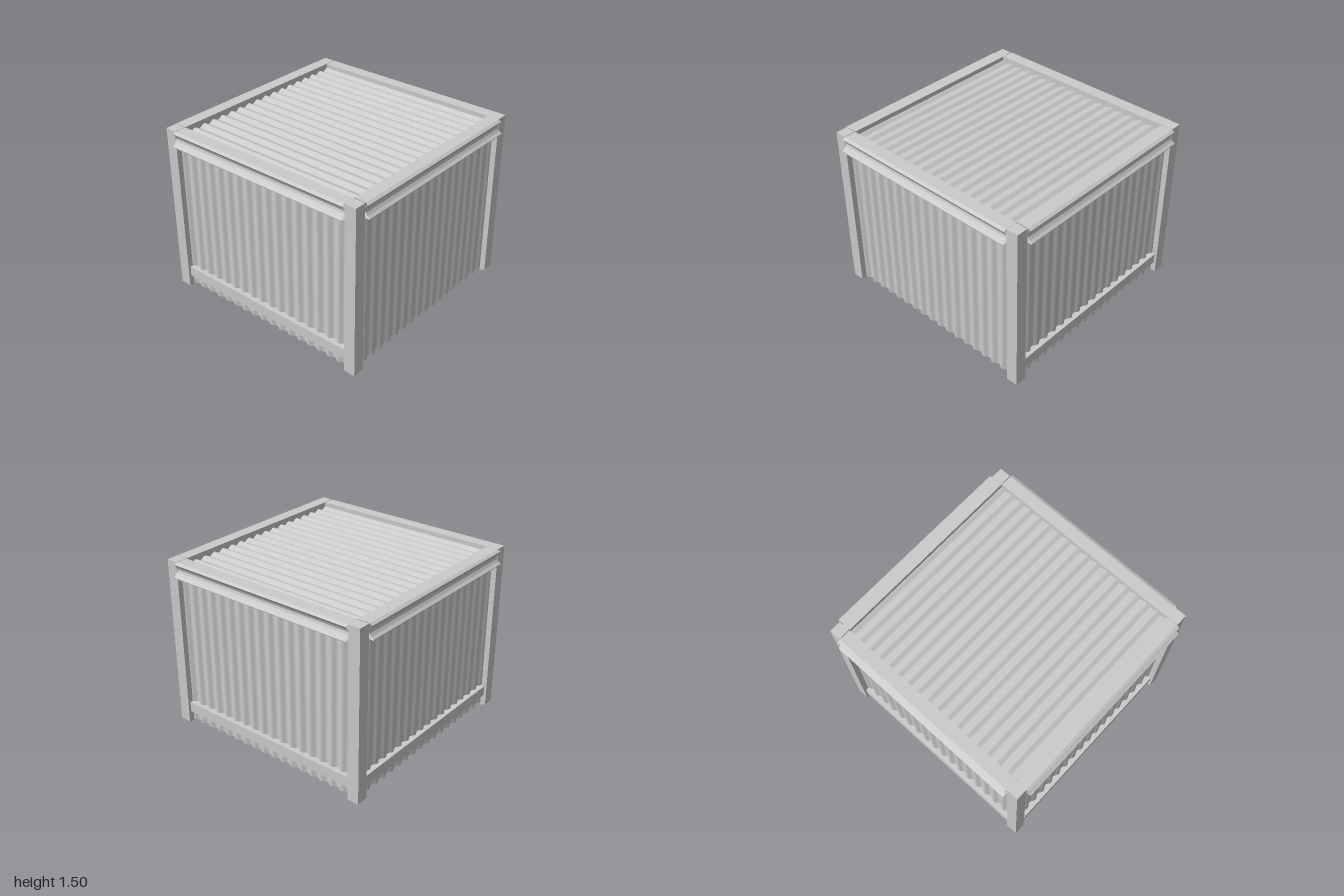
import * as THREE from 'three';

const material = new THREE.MeshStandardMaterial({ color: 0xcccccc, side: THREE.DoubleSide });

const POST = 0.91, POST_SIZE = 0.1, SPAN = 1.71;
const BASE = 0.03, TOP = 1.5;

function part(name, geometry, x = 0, y = 0, z = 0) {
  const mesh = new THREE.Mesh(geometry, material);
  mesh.name = name;
  mesh.position.set(x, y, z);
  return mesh;
}

// Sheet with round waves running along its height
function corrugated(width, height, waves = 17, depth = 0.012) {
  const geometry = new THREE.PlaneGeometry(width, height, waves * 8, 1);
  const p = geometry.attributes.position;
  for (let i = 0; i < p.count; i++) {
    p.setZ(i, depth * Math.cos((p.getX(i) / width + 0.5) * waves * Math.PI * 2));
  }
  geometry.computeVertexNormals();
  return geometry;
}

// Open-ended strip: a [z, y] profile swept along x
function sweep(profile, width) {
  const plane = new THREE.PlaneGeometry(width, 1, 1, profile.length - 1);
  const p = plane.attributes.position;
  for (let i = 0; i < p.count; i++) {
    const [z, y] = profile[i >> 1];
    p.setXYZ(i, p.getX(i), y, z);
  }
  const geometry = plane.toNonIndexed();
  geometry.computeVertexNormals();
  return geometry;
}

// Short hollow square tube, standing on y = 0
function squareTube(size, wall, height) {
  const a = size / 2, b = a - wall;
  const shape = new THREE.Shape([[-a, -a], [a, -a], [a, a], [-a, a]].map(c => new THREE.Vector2(...c)));
  shape.holes.push(new THREE.Path([[-b, -b], [-b, b], [b, b], [b, -b]].map(c => new THREE.Vector2(...c))));
  const geometry = new THREE.ExtrudeGeometry(shape, { depth: height, bevelEnabled: false });
  return geometry.rotateX(-Math.PI / 2);
}

export function createModel() {
  const model = new THREE.Group();
  model.name = 'corrugatedShed';

  // Corner posts on small hollow feet
  const postGeometry = new THREE.BoxGeometry(POST_SIZE, TOP - BASE, POST_SIZE);
  const footGeometry = squareTube(0.05, 0.012, BASE);
  for (const x of [-POST, POST]) {
    for (const z of [-POST, POST]) {
      model.add(part('cornerPost', postGeometry, x, (TOP + BASE) / 2, z));
      model.add(part('foot', footGeometry, x, 0, z));
    }
  }

  // Top beam: flat top, flared lip, hollow face, kicked-out lower edge
  const beamProfile = [
    [0.857, 1.5], [0.96, 1.5], [0.985, 1.487], [0.965, 1.46], [0.957, 1.44],
    [0.962, 1.42], [0.978, 1.4], [1.0, 1.385], [0.998, 1.377], [0.857, 1.377], [0.857, 1.5],
  ];
  const beamGeometry = sweep(beamProfile, SPAN);
  const wallGeometry = corrugated(SPAN + 0.01, 1.39);
  const railGeometry = new THREE.BoxGeometry(SPAN, 0.09, 0.06);

  // Four sides; the front one has no lower rail
  ['front', 'left', 'back', 'right'].forEach((name, i) => {
    const side = new THREE.Group();
    side.name = name + 'Side';
    side.rotation.y = i * Math.PI / 2;
    side.add(part('wallPanel', wallGeometry, 0, BASE + 0.695, 0.9));
    side.add(part('topBeam', beamGeometry));
    if (name !== 'front') side.add(part('lowerRail', railGeometry, 0, 0.168, 0.912));
    model.add(side);
  });

  // Roof sheet set down inside the beams
  const roofGeometry = corrugated(SPAN + 0.01, SPAN + 0.01).rotateX(-Math.PI / 2);
  model.add(part('roofPanel', roofGeometry, 0, 1.45, 0));

  return model;
}
